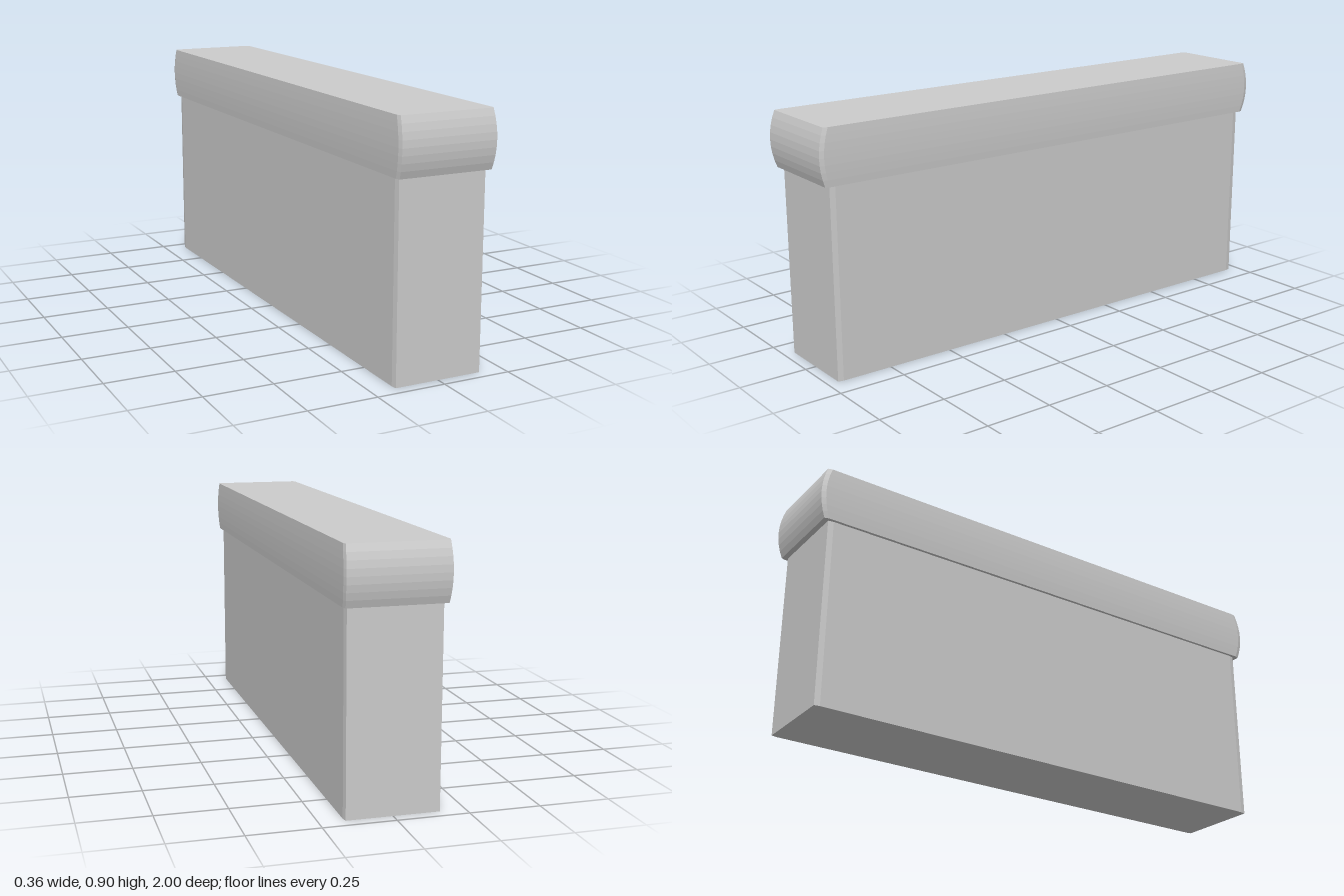
import * as THREE from 'three';

// Stack of chamfered rectangles, given as [y, halfX, halfZ], closed at both ends
function loft(name, rings, cutX, cutZ) {
  const loops = rings.map(([y, a, b]) => [
    [a, b - cutZ], [a, cutZ - b], [a - cutX, -b], [cutX - a, -b],
    [-a, cutZ - b], [-a, b - cutZ], [cutX - a, b], [a - cutX, b],
  ].map(([x, z]) => [x, y, z]));
  const pos = [];
  const tri = (...pts) => pts.forEach((p) => pos.push(...p));
  for (let i = 0; i < loops.length - 1; i++) {
    for (let j = 0; j < 8; j++) {
      const k = (j + 1) % 8;
      const [lo, hi] = [loops[i], loops[i + 1]];
      tri(lo[j], lo[k], hi[k]);
      tri(lo[j], hi[k], hi[j]);
    }
  }
  const bottom = loops[0], top = loops[loops.length - 1];
  for (let j = 1; j < 7; j++) {
    tri(top[0], top[j], top[j + 1]);
    tri(bottom[0], bottom[j + 1], bottom[j]);
  }
  const geo = new THREE.BufferGeometry();
  geo.setAttribute('position', new THREE.Float32BufferAttribute(pos, 3));
  geo.computeVertexNormals();
  const mesh = new THREE.Mesh(geo, new THREE.MeshStandardMaterial({ color: 0xcccccc, flatShading: true }));
  mesh.name = name;
  return mesh;
}

export function createModel() {
  const group = new THREE.Group();
  group.name = 'cappedWall';

  // Straight wall with slim chamfered corners
  group.add(loft('wallBody', [[0, 0.165, 0.96], [0.7, 0.165, 0.96]], 0.004, 0.02));

  // Overhanging coping, its sides and ends bulging at mid height
  const rings = [];
  const steps = 8;
  for (let i = 0; i <= steps; i++) {
    const t = i / steps;
    const bulge = 1 - (2 * t - 1) ** 2;
    rings.push([0.698 + 0.202 * t, 0.176 + 0.004 * bulge, 0.98 + 0.02 * bulge]);
  }
  group.add(loft('copingCap', rings, 0.005, 0.016));
  return group;
}
